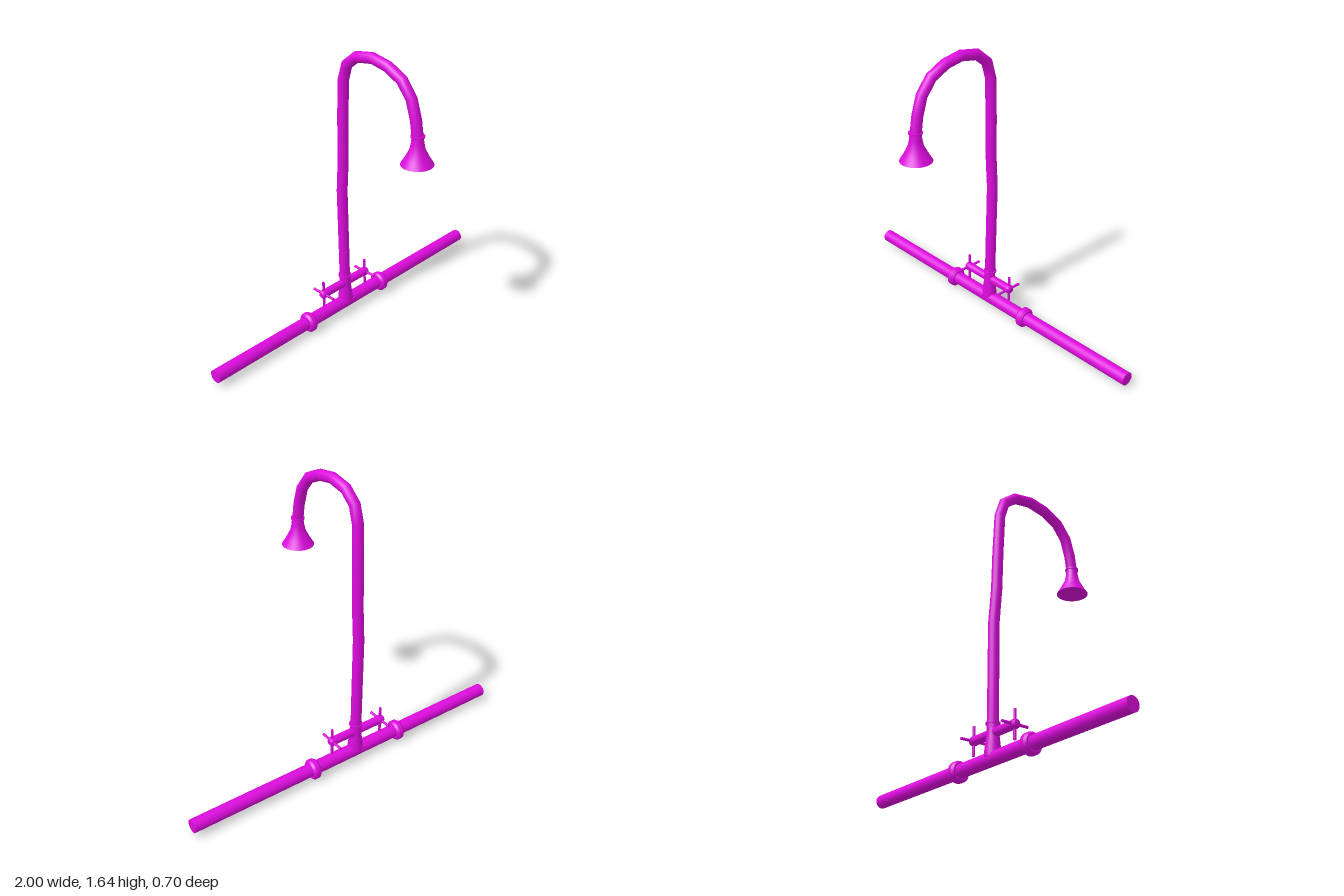
import * as THREE from 'three';
import { toCreasedNormals } from 'three/addons/utils/BufferGeometryUtils.js';

const PIPE_Y = 0.06, PIPE_Z = -0.27, STEM_X = -0.038, BAR_Y = 0.192;

export function createModel() {
  const model = new THREE.Group();
  model.name = 'outdoorShower';
  const material = new THREE.MeshStandardMaterial({ color: 0xdd0bdd });

  const add = (name, geometry, x, y, z, parent = model) => {
    const mesh = new THREE.Mesh(geometry, material);
    mesh.name = name;
    mesh.position.set(x, y, z);
    parent.add(mesh);
    return mesh;
  };
  // Turned part from [radius, height] pairs, listed bottom to top
  const turned = (profile, sides = 24) => toCreasedNormals(
    new THREE.LatheGeometry(profile.map(([r, h]) => new THREE.Vector2(r, h)), sides), 0.5);

  // Supply pipe with two bevelled collars
  add('supplyPipe', new THREE.CylinderGeometry(0.037, 0.037, 2, 24).rotateZ(Math.PI / 2), 0, PIPE_Y + 0.003, PIPE_Z);
  for (const x of [-0.333, 0.25]) {
    const collar = turned([[0.036, -0.025], [0.046, -0.025], [0.057, -0.012],
      [0.057, 0.012], [0.046, 0.025], [0.036, 0.025]]);
    add('pipeCollar', collar.rotateZ(Math.PI / 2), x, PIPE_Y + 0.002, PIPE_Z);
  }

  // Tapered socket and ring at the foot of the stem
  add('stemSocket', turned([[0, 0.07], [0.042, 0.07], [0.042, 0.1], [0.033, 0.175], [0.031, 0.24], [0, 0.24]]),
    STEM_X, 0, PIPE_Z);
  add('stemRing', new THREE.CylinderGeometry(0.037, 0.037, 0.01, 24), STEM_X, 0.241, PIPE_Z - 0.002);

  // Gooseneck stem as [z, y] points, with one ring of vertices at each point
  const path = [[-0.272, 0.15], [-0.274, 0.4], [-0.278, 0.787], [-0.264, 0.987], [-0.26, 1.209],
    [-0.251, 1.44], [-0.222, 1.535], [-0.15, 1.593], [-0.041, 1.612], [0.063, 1.593],
    [0.157, 1.546], [0.22, 1.465], [0.25, 1.365], [0.264, 1.27]];
  const curve = new THREE.CatmullRomCurve3(path.map(([z, y]) => new THREE.Vector3(0, y, z)), false, 'catmullrom', 0.5);
  curve.getPointAt = curve.getPoint;
  curve.getTangentAt = curve.getTangent;
  add('gooseneckStem', new THREE.TubeGeometry(curve, path.length - 1, 0.03, 16), STEM_X, 0, 0);

  // Shower head: flared bell with a closed face, and its ring
  add('showerHead', turned([[0, 1.127], [0.087, 1.127], [0.064, 1.165], [0.041, 1.21],
    [0.034, 1.245], [0.03, 1.28], [0, 1.28]], 32), STEM_X, 0, 0.264);
  add('headRing', new THREE.CylinderGeometry(0.037, 0.037, 0.01, 24), STEM_X, 1.281, 0.264);

  // Valve crossbar with rounded ends
  const bar = turned([[0, -0.188], [0.016, -0.186], [0.024, -0.178], [0.026, -0.166], [0.024, -0.15],
    [0.024, 0.15], [0.026, 0.166], [0.024, 0.178], [0.016, 0.186], [0, 0.188]], 20);
  add('valveBar', bar.rotateZ(Math.PI / 2), -0.045, BAR_Y, PIPE_Z);

  // Four-armed tap handle at each end of the bar
  for (const x of [-0.211, 0.123]) {
    const handle = new THREE.Group();
    handle.name = 'tapHandle';
    handle.position.set(x, BAR_Y, PIPE_Z);
    model.add(handle);
    for (const angle of [0, Math.PI / 2]) {
      add('handleSpoke', new THREE.CylinderGeometry(0.0075, 0.0075, 0.157, 10).rotateX(angle), 0, 0, 0, handle);
    }
  }
  return model;
}
